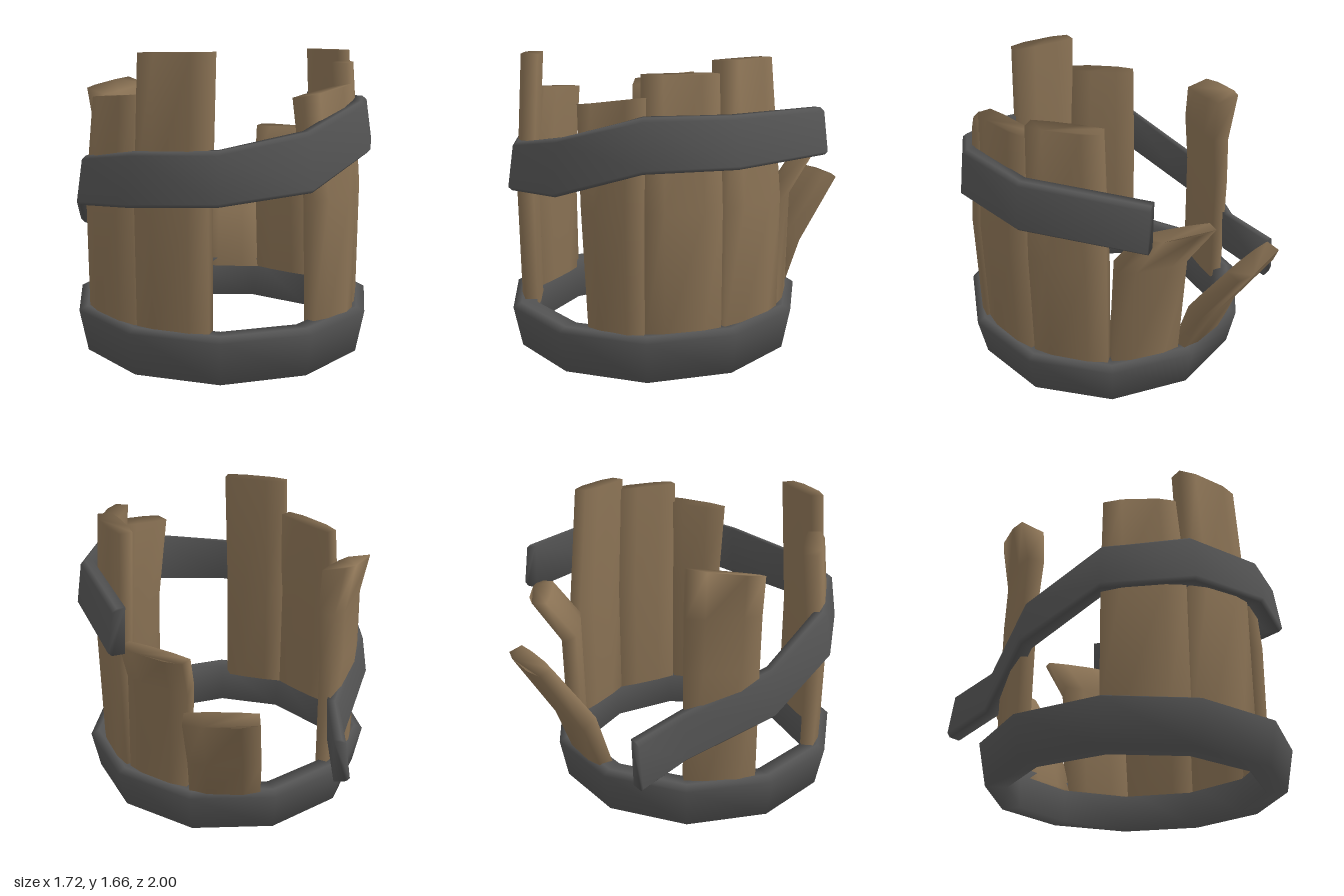
import * as THREE from 'three';

const wood = new THREE.MeshStandardMaterial({ color: 0x8b7355 });
wood.name = 'brown wood';
const iron = new THREE.MeshStandardMaterial({ color: 0x555555 });
iron.name = 'dark iron';

const CENTRE_Z = 0.14; // barrel axis
const SIDES = 11;
const STEP = (Math.PI * 2) / SIDES;
const rad = THREE.MathUtils.degToRad;

// Skin a row of cross-sections with smooth normals; open rows get flat end caps
function loft(rings, closed) {
  const n = rings[0].length;
  const index = [];
  const rows = closed ? rings.length : rings.length - 1;
  for (let i = 0; i < rows; i++) {
    const a = i * n, b = ((i + 1) % rings.length) * n;
    for (let j = 0; j < n; j++) {
      const k = (j + 1) % n;
      index.push(a + j, a + k, b + k, a + j, b + k, b + j);
    }
  }
  if (!closed) {
    const last = (rings.length - 1) * n;
    for (let j = 1; j < n - 1; j++) {
      index.push(0, j + 1, j);
      index.push(last, last + j, last + j + 1);
    }
  }
  const geometry = new THREE.BufferGeometry();
  geometry.setAttribute('position', new THREE.Float32BufferAttribute(rings.flat(2), 3));
  geometry.setIndex(index);
  geometry.computeVertexNormals();
  return geometry;
}

// One stave facing the given angle (degrees from +z towards +x).
// levels: [y inside, y outside, inner distance, outer distance, sideways shift, half width]
function stave(angle, levels, tilt = 0) {
  const s = Math.sin(rad(angle)), c = Math.cos(rad(angle));
  const rings = levels.map(([yIn, yOut, rIn, rOut, shift = 0, half = 0.2], i) => {
    const slope = i === levels.length - 1 ? tilt / (2 * half) : 0;
    const section = [
      [-0.5, rOut, yOut], [0.5, rOut, yOut], [1, rOut - 0.025, yOut],
      [0.98, rIn + 0.01, yIn], [0.4, rIn, yIn], [-0.4, rIn, yIn],
      [-0.98, rIn + 0.01, yIn], [-1, rOut - 0.025, yOut],
    ];
    return section.map(([u, r, y]) => {
      const t = u * half + shift;
      return [r * s + t * c, y + u * half * slope, CENTRE_Z + r * c - t * s];
    });
  });
  return new THREE.Mesh(loft(rings, false), wood);
}

// Bottom hoop: a flared polygonal ring
function bottomHoop() {
  const section = [[0.73, 0.25], [0.82, 0.257], [0.868, 0.235], [0.822, 0], [0.705, 0]];
  const rings = [];
  for (let i = 0; i < SIDES; i++) {
    const a = rad(10.7) + i * STEP;
    rings.push(section.map(([r, y]) => [0.007 + r * Math.sin(a), y, CENTRE_Z + r * Math.cos(a)]));
  }
  return new THREE.Mesh(loft(rings, true), iron);
}

// Upper hoop: snapped open, with one end sagging. Nodes: [x, z, top, bottom]
function brokenHoop() {
  const path = [
    [-0.785, -0.57, 0.61, 0.34], [-0.735, -0.29, 0.68, 0.42], [-0.855, 0.18, 0.89, 0.63],
    [-0.70, 0.63, 1.10, 0.83], [-0.32, 0.94, 1.17, 0.89], [0.16, 0.99, 1.19, 0.92],
    [0.60, 0.78, 1.27, 0.97], [0.855, 0.36, 1.395, 1.12], [0.845, -0.14, 1.39, 1.12],
    [0.495, -0.75, 1.37, 1.11],
  ];
  const rings = path.map(([x, z, top, bottom], i) => {
    const p = path[Math.max(i - 1, 0)], q = path[Math.min(i + 1, path.length - 1)];
    const dx = q[0] - p[0], dz = q[1] - p[1], len = Math.hypot(dx, dz);
    const nx = -dz / len, nz = dx / len; // outward
    const section = [
      [0.105, top], [0.06, top], [0.035, top - 0.02],
      [0, bottom + 0.02], [0.02, bottom], [0.09, bottom],
    ];
    return section.map(([d, y]) => [x - nx * d, y, z - nz * d]);
  });
  return new THREE.Mesh(loft(rings, false), iron);
}

export function createModel() {
  const model = new THREE.Group();
  model.name = 'brokenBarrel';
  const add = (mesh, name) => { mesh.name = name; model.add(mesh); };

  add(bottomHoop(), 'bottomHoop');
  add(brokenHoop(), 'brokenHoop');

  const base = [0.2, 0.2, 0.68, 0.785];
  const middle = [0.9, 0.9, 0.68, 0.79];

  // Upright staves: [name, facing angle, top height, top slope, shift, half width, top shift]
  const upright = [
    ['frontStave', -8, 1.657, 0.005, 0.005, 0.2, 0.01],
    ['leftStave', 90.5, 1.592, 0, 0, 0.207, 0],
    ['backLeftStave', 122.5, 1.655, 0, 0.015, 0.22, 0],
    ['frontRightStave', -38.4, 1.43, 0.03, -0.015, 0.22, -0.025],
  ];
  for (const [name, angle, top, tilt, shift, half, topShift] of upright) {
    const levels = [
      [...base, shift, half], [...middle, shift, half], [top, top, 0.628, 0.738, topShift, 0.197],
    ];
    add(stave(angle, levels, tilt), name);
  }

  // Tapered and twisted staves
  add(stave(55, [
    [...base, 0.115, 0.16], [...middle, 0.105, 0.175], [1.45, 1.46, 0.625, 0.74, 0.085, 0.19],
  ], 0.05), 'frontLeftStave');
  add(stave(-110, [
    [0.2, 0.2, 0.67, 0.775, 0.04], [0.9, 0.9, 0.66, 0.775, 0.04],
    [1.2, 1.2, 0.635, 0.765, 0.045], [1.42, 1.455, 0.645, 0.81, 0.045],
  ], -0.05), 'rightStave');

  // Staves forced outwards
  add(stave(156, [
    base, [0.9, 0.86, 0.69, 0.795, 0.03], [1.135, 1.14, 0.84, 0.955, 0.115],
  ]), 'bentBackStave');
  add(stave(187, [
    [0.2, 0.2, 0.68, 0.795], [0.56, 0.5, 0.79, 0.905], [0.91, 0.885, 1.03, 1.14, -0.01, 0.195],
  ]), 'splayedBackStave');
  return model;
}
